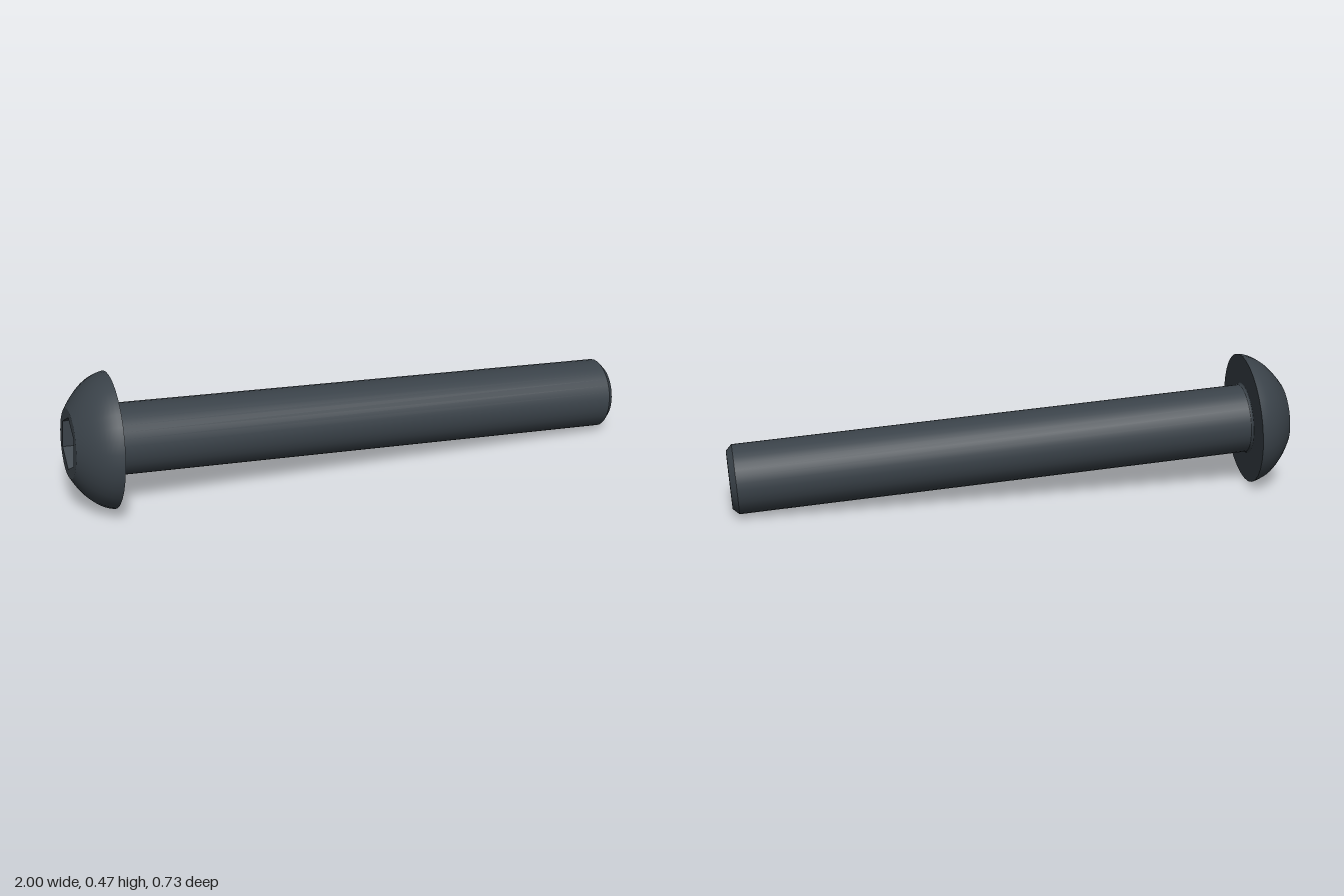
import * as THREE from 'three';

const SEGMENTS = 32;
const HEAD_R = 0.235, HEAD_H = 0.138, CROWN_R = 0.12;
const SHAFT_R = 0.123, TIP_R = 0.102, LENGTH = 1.862, CHAMFER = 0.021;
const SOCKET_R = 0.095, SOCKET_DEPTH = 0.085;

export function createModel() {
  const steel = new THREE.MeshStandardMaterial({ color: 0x3a4249 });
  steel.name = 'dark steel';

  // The screw is built along +y (underside of the head at y = 0), then laid down.
  const screw = new THREE.Group();
  screw.name = 'screw';

  const add = (name, geometry) => {
    const mesh = new THREE.Mesh(geometry, steel);
    mesh.name = name;
    screw.add(mesh);
  };
  // Each turned surface is its own lathe, so the edges between them stay sharp.
  const turned = (name, points) => add(name, new THREE.LatheGeometry(
    points.map(([r, y]) => new THREE.Vector2(r, y)), SEGMENTS));

  // Domed head
  const dome = new THREE.QuadraticBezierCurve(
    new THREE.Vector2(CROWN_R, -HEAD_H),
    new THREE.Vector2(0.2225, -0.0765),
    new THREE.Vector2(HEAD_R, 0));
  add('headDome', new THREE.LatheGeometry(dome.getPoints(10), SEGMENTS));
  turned('headUnderside', [[HEAD_R, 0], [SHAFT_R + 0.006, 0]]);

  // Shaft with a small fillet at the root and a chamfered tip
  turned('shaftFillet', [[SHAFT_R + 0.006, 0], [SHAFT_R + 0.002, 0.002], [SHAFT_R, 0.008]]);
  turned('shaft', [[SHAFT_R, 0.008], [SHAFT_R, LENGTH - CHAMFER]]);
  turned('tipChamfer', [[SHAFT_R, LENGTH - CHAMFER], [TIP_R, LENGTH]]);
  turned('tipFace', [[TIP_R, LENGTH], [0, LENGTH]]);

  // Flat crown with the hexagonal socket walls
  const crown = new THREE.Shape();
  crown.absarc(0, 0, CROWN_R, 0, Math.PI * 2);
  const hexagon = [];
  for (let i = 0; i < 6; i++) {
    const a = Math.PI / 2 + i * Math.PI / 3;
    hexagon.push(new THREE.Vector2(SOCKET_R * Math.cos(a), SOCKET_R * Math.sin(a)));
  }
  crown.holes.push(new THREE.Path(hexagon));
  const crownGeometry = new THREE.ExtrudeGeometry(crown, {
    depth: SOCKET_DEPTH, bevelEnabled: false, curveSegments: SEGMENTS / 2,
  });
  crownGeometry.rotateX(-Math.PI / 2).translate(0, -HEAD_H, 0);
  add('crownAndSocketWalls', crownGeometry);

  // Socket floor
  const floor = new THREE.CircleGeometry(SOCKET_R, 6, Math.PI / 2);
  floor.rotateX(Math.PI / 2).translate(0, SOCKET_DEPTH - HEAD_H, 0);
  add('socketFloor', floor);

  // Lay the screw down, resting on the head rim and the tip
  const axis = new THREE.Vector3(1.815, -0.112, 0.387).normalize();
  const up = new THREE.Vector3(0, 1, 0).addScaledVector(axis, -axis.y).normalize();
  const side = new THREE.Vector3().crossVectors(axis, up);
  screw.quaternion.setFromRotationMatrix(new THREE.Matrix4().makeBasis(side, axis, up));
  screw.position.set(-0.84, 0.236, -0.138);

  const model = new THREE.Group();
  model.name = 'buttonHeadScrew';
  model.add(screw);
  return model;
}
